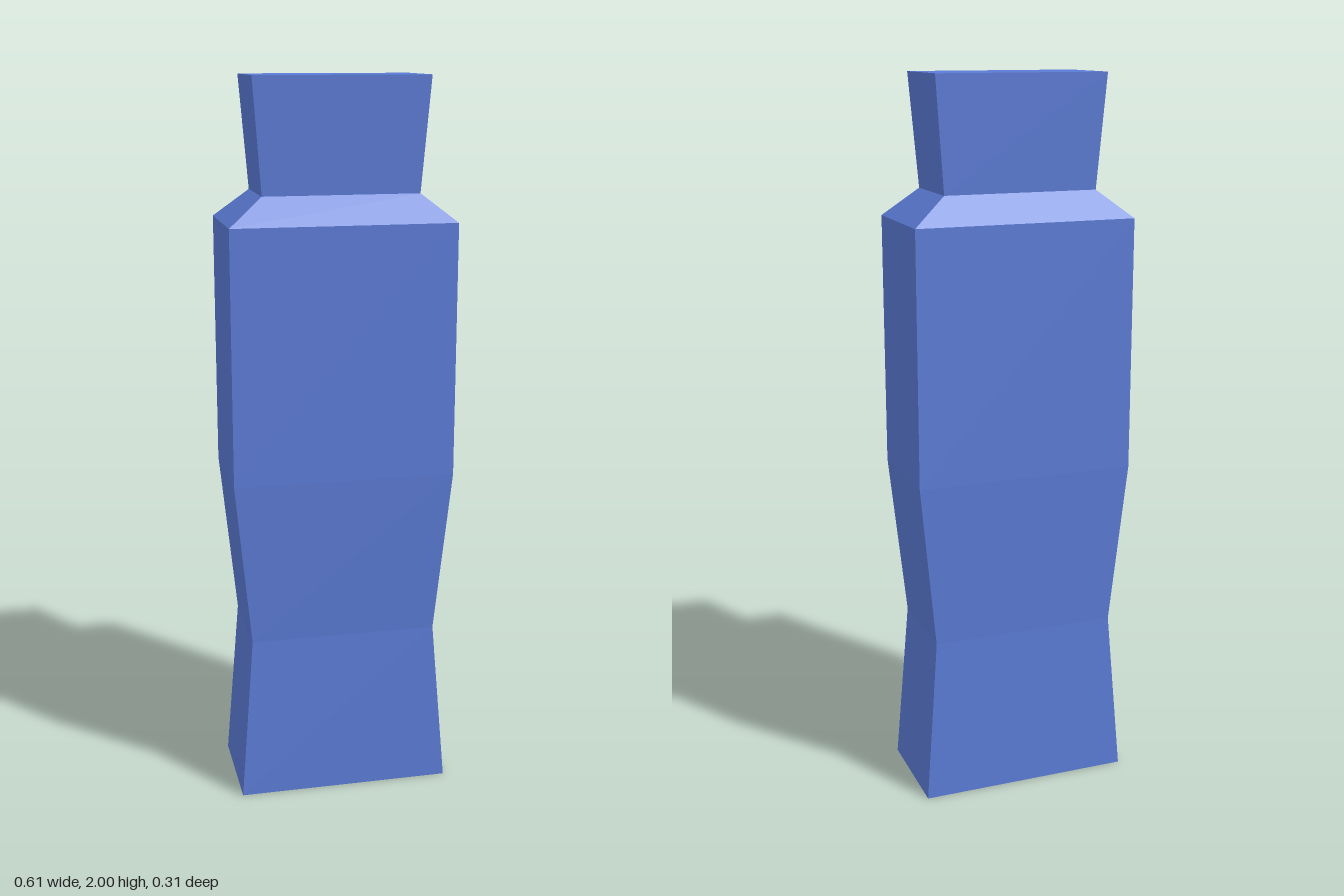
import * as THREE from 'three';

// Rectangular sections from base to top: [height, half width, half depth]
const SECTIONS = [
  [0, 0.298, 0.152],
  [0.465, 0.261, 0.138],
  [0.925, 0.307, 0.154],
  [1.62, 0.307, 0.154],
  [1.695, 0.213, 0.107],
  [2, 0.237, 0.119],
];

export function createModel() {
  const group = new THREE.Group();
  group.name = 'bottle';

  // A segmented box whose rings are moved onto the sections
  const rings = SECTIONS.length - 1;
  const box = new THREE.BoxGeometry(2, rings, 2, 1, rings, 1);
  const pos = box.attributes.position;
  for (let i = 0; i < pos.count; i++) {
    const [y, w, d] = SECTIONS[Math.round(pos.getY(i) + rings / 2)];
    pos.setXYZ(i, Math.sign(pos.getX(i)) * w, y, Math.sign(pos.getZ(i)) * d);
  }
  const geometry = box.toNonIndexed();
  geometry.computeVertexNormals();

  const material = new THREE.MeshStandardMaterial({ color: 0x5b7bd5, flatShading: true });
  const body = new THREE.Mesh(geometry, material);
  body.name = 'bottleBody';
  group.add(body);
  return group;
}
